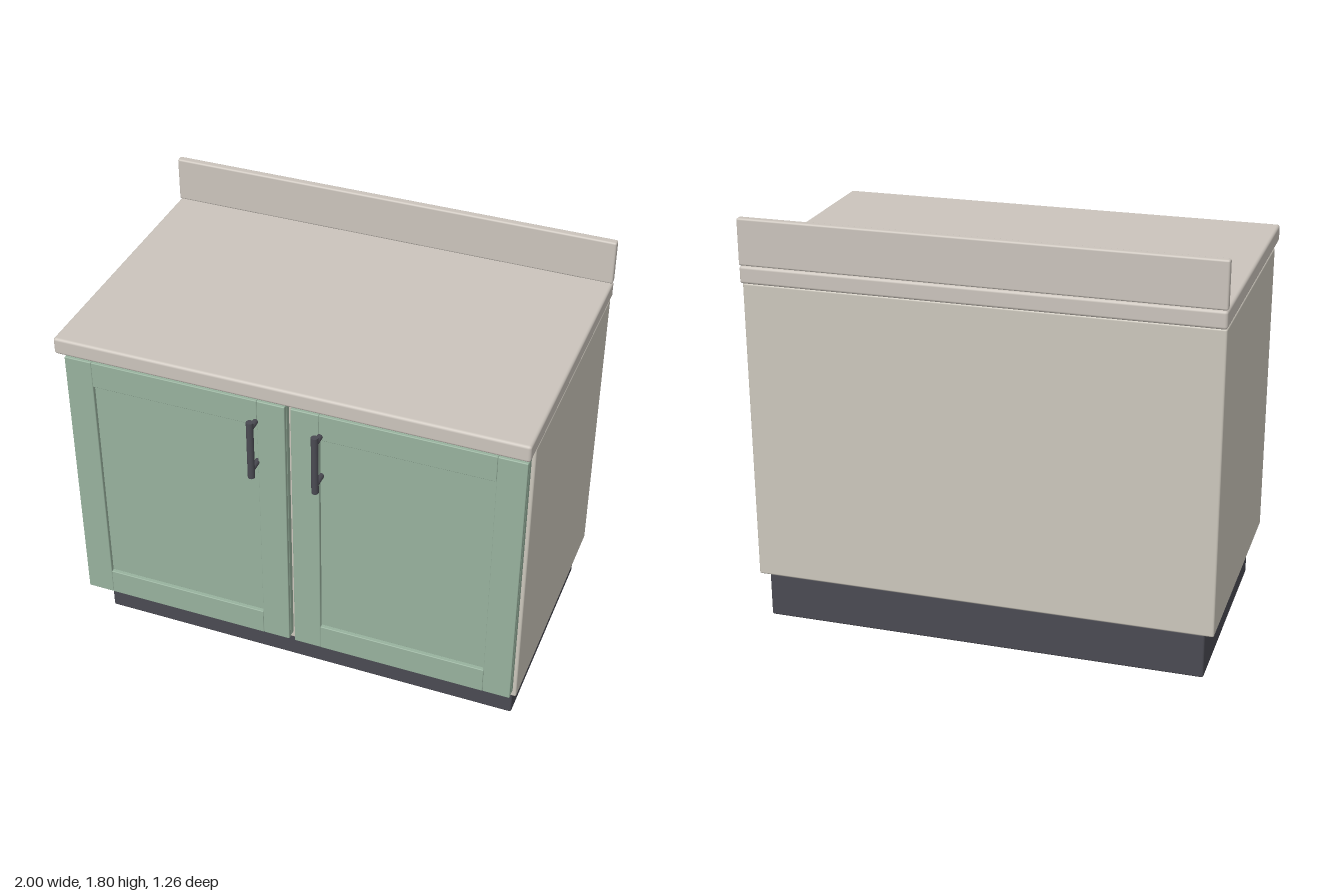
import * as THREE from 'three';
import { RoundedBoxGeometry } from 'three/addons/geometries/RoundedBoxGeometry.js';

const material = (name, color) => {
  const m = new THREE.MeshStandardMaterial({ color });
  m.name = name;
  return m;
};

export function createModel() {
  const stone = material('warm grey worktop', 0xcbc4bc);
  const cream = material('cream carcass', 0xccc7bc);
  const green = material('sage green', 0x98b29e);
  const dark = material('charcoal', 0x4a4a52);

  const cabinet = new THREE.Group();
  cabinet.name = 'baseCabinet';

  // Softly rounded box given by its min and max corners
  function box(parent, name, mat, [x0, y0, z0], [x1, y1, z1], radius = 0.008) {
    const geometry = new RoundedBoxGeometry(x1 - x0, y1 - y0, z1 - z0, 2, radius);
    const mesh = new THREE.Mesh(geometry, mat);
    mesh.name = name;
    mesh.position.set((x0 + x1) / 2, (y0 + y1) / 2, (z0 + z1) / 2);
    parent.add(mesh);
  }

  // Main blocks
  box(cabinet, 'toeKick', dark, [-0.957, 0, -0.59], [0.957, 0.2, 0.41]);
  box(cabinet, 'carcass', cream, [-0.997, 0.203, -0.61], [0.997, 1.522, 0.51]);
  box(cabinet, 'countertop', stone, [-1, 1.525, -0.63], [1, 1.6, 0.607], 0.012);
  box(cabinet, 'backsplash', stone, [-1, 1.602, -0.63], [1, 1.8, -0.595]);

  // Doors: a panel behind a frame of two stiles and two rails, plus a bar handle
  for (const side of [-1, 1]) {
    const door = new THREE.Group();
    door.name = side < 0 ? 'rightDoor' : 'leftDoor';
    const cx = side * 0.4975, half = 0.485, stile = 0.12;
    const left = cx - half, right = cx + half;
    const y0 = 0.24, y1 = 1.485, zBack = 0.51, zMid = 0.543, zFront = 0.563;

    box(door, 'doorPanel', green, [left, y0, zBack], [right, y1, zMid], 0.006);
    for (const x of [left, right - stile]) {
      box(door, 'stile', green, [x, y0, zMid], [x + stile, y1, zFront], 0.004);
    }
    for (const y of [y0, y1 - stile]) {
      box(door, 'rail', green, [left + stile, y, zMid], [right - stile, y + stile, zFront], 0.003);
    }

    // Handle near the meeting edge of the doors
    const handle = new THREE.Group();
    handle.name = 'handle';
    const bar = new THREE.Mesh(new THREE.CylinderGeometry(0.015, 0.015, 0.275, 20), dark);
    bar.name = 'handleBar';
    bar.position.set(side * 0.138, 1.2825, 0.62);
    handle.add(bar);
    for (const y of [1.18, 1.385]) {
      const post = new THREE.Mesh(new THREE.CylinderGeometry(0.012, 0.012, 0.07, 16), dark);
      post.name = 'handlePost';
      post.rotation.x = Math.PI / 2;
      post.position.set(side * 0.138, y, 0.585);
      handle.add(post);
    }
    door.add(handle);
    cabinet.add(door);
  }

  return cabinet;
}
